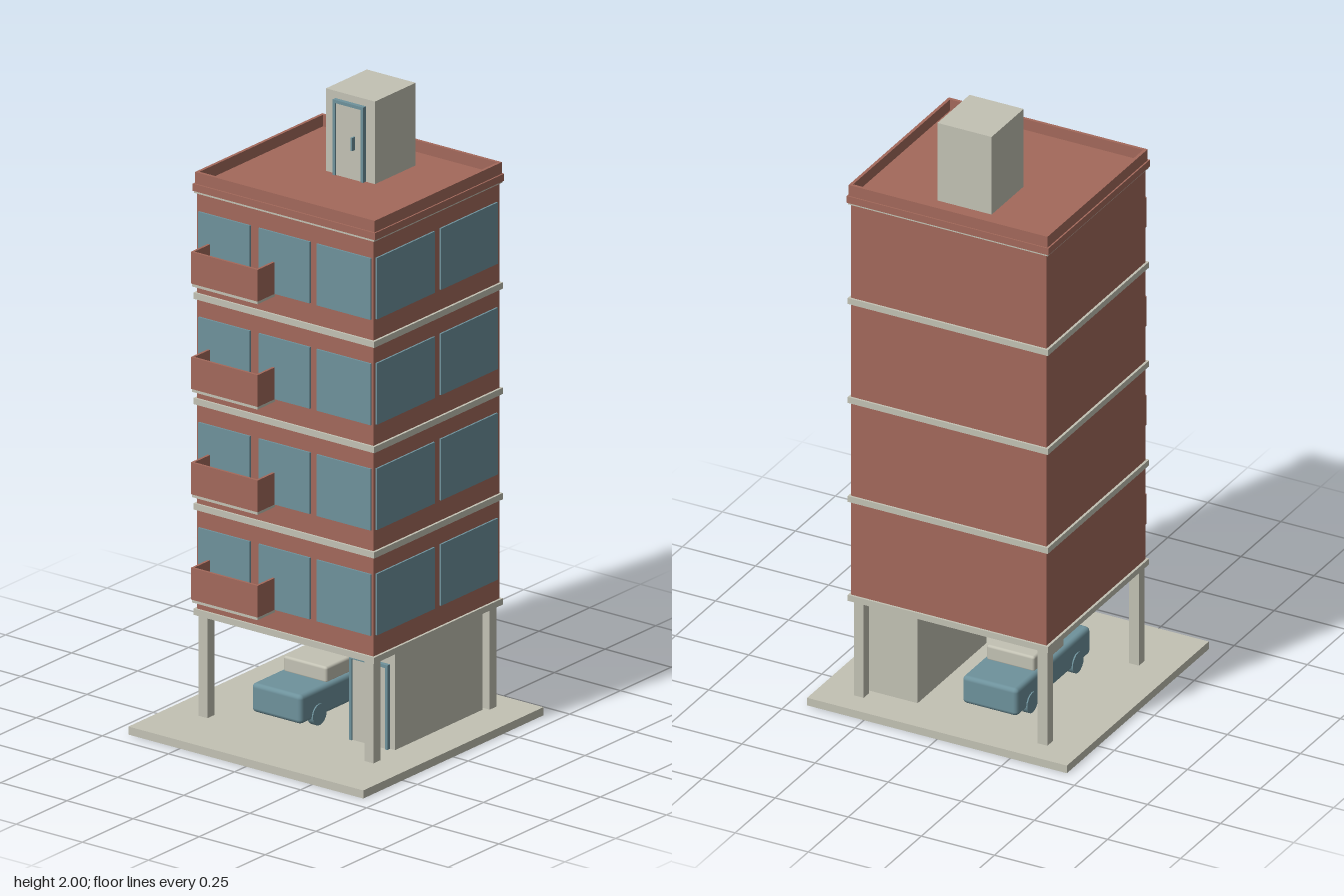
import * as THREE from 'three';
import { RoundedBoxGeometry } from 'three/addons/geometries/RoundedBoxGeometry.js';

const mat = (name, color) => {
  const m = new THREE.MeshStandardMaterial({ color });
  m.name = name;
  return m;
};

export function createModel() {
  const brick = mat('brick red', 0xa3695b);
  const concrete = mat('concrete beige', 0xc3c2b4);
  const blue = mat('glass blue', 0x6e929c);

  const root = new THREE.Group();
  root.name = 'apartmentBuilding';

  const group = (name, parent = root) => {
    const g = new THREE.Group();
    g.name = name;
    parent.add(g);
    return g;
  };
  // Box given by its minimum and maximum along each axis
  const box = (name, material, [x0, x1], [y0, y1], [z0, z1], parent = root, radius = 0) => {
    const size = [x1 - x0, y1 - y0, z1 - z0];
    const geo = radius ? new RoundedBoxGeometry(...size, 2, radius) : new THREE.BoxGeometry(...size);
    const mesh = new THREE.Mesh(geo, material);
    mesh.name = name;
    mesh.position.set((x0 + x1) / 2, (y0 + y1) / 2, (z0 + z1) / 2);
    parent.add(mesh);
    return mesh;
  };
  // Door: frame of three bars, recessed leaf and a handle, facing +z
  const door = (name, cx, y0, y1, w, z) => {
    const g = group(name);
    const h = w / 2, t = 0.01;
    for (const s of [-1, 1]) {
      const x = cx + s * (h - t / 2);
      box('doorJamb', blue, [x - t / 2, x + t / 2], [y0, y1], [z, z + 0.014], g);
    }
    box('doorLintel', blue, [cx - h + t, cx + h - t], [y1 - t, y1], [z, z + 0.014], g);
    box('doorLeaf', concrete, [cx - h + t, cx + h - t], [y0, y1 - t], [z, z + 0.009], g);
    const hy = y1 - 0.145;
    box('doorHandle', blue, [cx + 0.018, cx + 0.024], [hy, hy + 0.042], [z + 0.009, z + 0.024], g);
  };

  const X = 0.334, ZB = -0.37, ZF = 0.25, STEP = 0.338;

  // Ground slab, columns and entrance block
  box('groundSlab', concrete, [-0.444, 0.444], [0, 0.026], [-0.444, 0.444]);
  for (const x of [-0.316, 0.312])
    for (const z of [-0.346, 0.227])
      box('column', concrete, [x - 0.017, x + 0.017], [0.026, 0.354], [z - 0.017, z + 0.017]);
  box('entranceBlock', concrete, [0.137, 0.312], [0.026, 0.354], [-0.315, 0.115]);
  door('entranceDoor', 0.221, 0.026, 0.297, 0.145, 0.115);

  // Body with a storey band at every floor line
  box('body', brick, [-X, X], [0.36, 1.735], [ZB, ZF]);
  for (let i = 0; i < 4; i++) {
    const y = 0.352 + STEP * i;
    box('storeyBand', concrete, [-0.342, 0.342], [y, y + 0.02], [-0.377, 0.257]);
  }
  box('topBand', concrete, [-0.341, 0.341], [1.706, 1.712], [-0.376, 0.256]);
  box('cornice', brick, [-0.345, 0.345], [1.712, 1.735], [-0.379, 0.257]);

  // Parapet around the roof
  const parapet = group('parapet');
  const py = [1.735, 1.772];
  for (const s of [-1, 1]) {
    box('parapetSide', brick, [s * 0.335 - 0.005, s * 0.335 + 0.005], py, [-0.375, 0.252], parapet);
    const z = s < 0 ? -0.37 : 0.247;
    box('parapetEnd', brick, [-0.33, 0.33], py, [z - 0.005, z + 0.005], parapet);
  }

  // Storeys: windows on the front and left side, balcony on the front
  const frontWindows = [[-0.325, -0.13], [-0.097, 0.097], [0.122, 0.327]];
  const sideWindows = [[-0.355, -0.075], [-0.045, 0.24]];
  for (let i = 0; i < 4; i++) {
    const storey = group('storey' + (i + 1));
    storey.position.y = STEP * i;
    for (const x of frontWindows) box('frontWindow', blue, x, [0.438, 0.635], [ZF - 0.002, ZF + 0.006], storey);
    for (const z of sideWindows) box('sideWindow', blue, [X - 0.002, X + 0.006], [0.438, 0.635], z, storey);

    const balcony = group('balcony', storey);
    const by = [0.438, 0.54];
    box('balconyFloor', concrete, [-0.286, -0.039], [0.428, 0.44], [ZF, 0.336], balcony);
    box('balconyFront', brick, [-0.289, -0.036], by, [0.331, 0.339], balcony);
    for (const x of [-0.289, -0.044])
      box('balconySide', brick, [x, x + 0.008], by, [ZF, 0.331], balcony);
  }

  // Stair house on the roof
  box('stairHouse', concrete, [-0.093, 0.092], [1.735, 2], [-0.273, -0.072]);
  door('roofDoor', 0, 1.735, 1.977, 0.115, -0.072);

  // Parked car
  const car = group('car');
  box('carBody', blue, [-0.19, 0], [0.05, 0.143], [-0.29, 0.172], car, 0.014);
  box('carCabin', concrete, [-0.177, -0.013], [0.138, 0.19], [-0.16, 0.03], car, 0.008);
  const wheelGeo = new THREE.CylinderGeometry(0.034, 0.034, 0.022, 16).rotateZ(Math.PI / 2);
  for (const x of [-0.183, -0.007])
    for (const z of [-0.2, 0.085]) {
      const wheel = new THREE.Mesh(wheelGeo, blue);
      wheel.name = 'wheel';
      wheel.position.set(x, 0.06, z);
      car.add(wheel);
    }

  return root;
}
